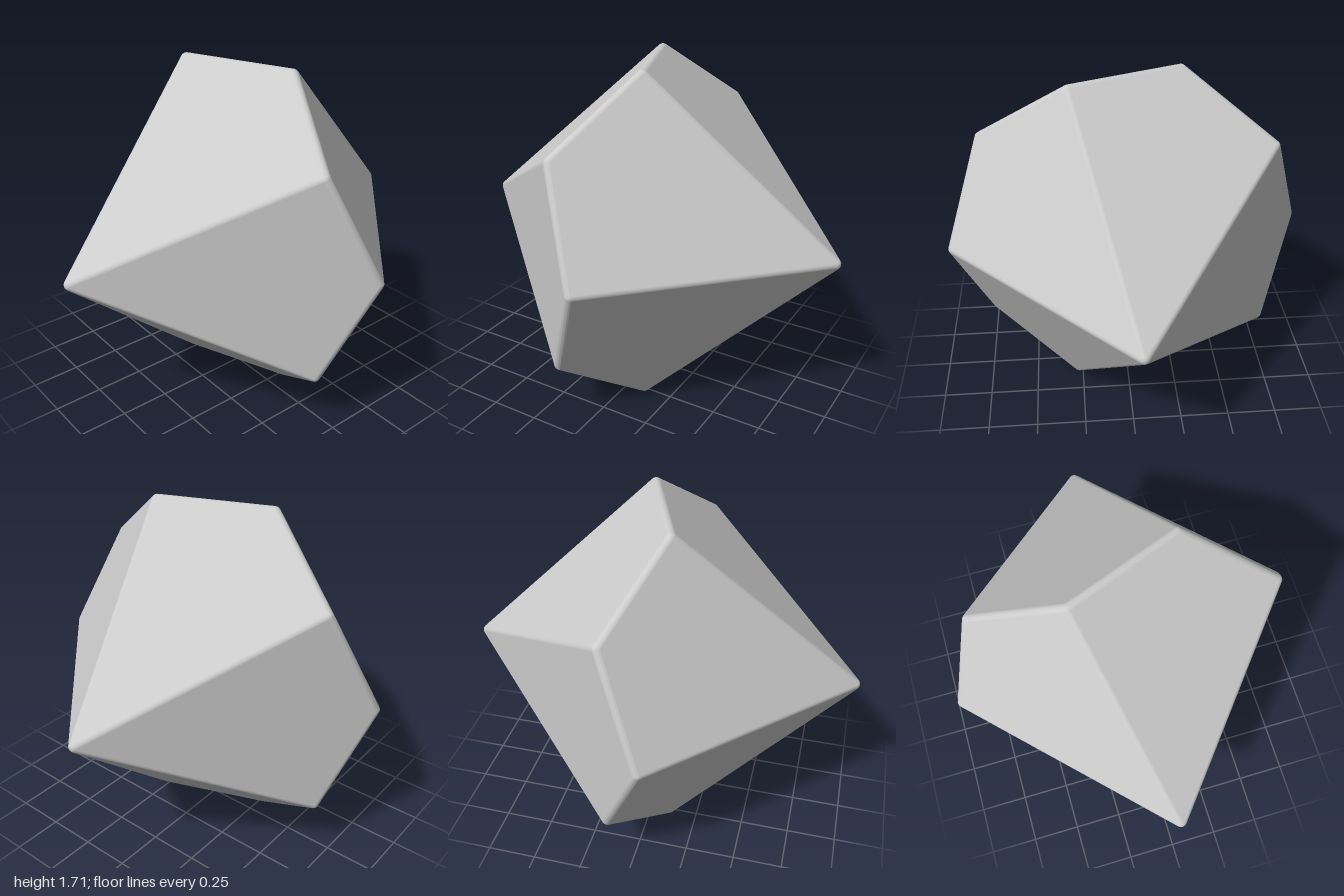
import * as THREE from 'three';
import { ConvexGeometry } from 'three/addons/geometries/ConvexGeometry.js';

const EDGE = 0.03;              // radius of the rounded edges
const APEX = 1 - EDGE;          // apex distance of the inner sharp solid
const RING = 0.867;             // radius of its zigzag ring
const STEP = Math.PI / 5;
const STEPS = 4;                // rounding subdivisions
const ZIG = APEX * (1 - Math.cos(STEP)) / (1 + Math.cos(STEP)); // keeps the kites flat

// Zigzag ring: odd corners lean to the front, even ones to the back
const side = (k) => (k % 2 ? 1 : -1);
const corner = (k) => new THREE.Vector3(
  RING * Math.cos(k * STEP), RING * Math.sin(k * STEP), side(k) * ZIG);
const apex = (s) => new THREE.Vector3(0, 0, s * APEX);

// Outward normal of the kite whose tip is ring corner k
function kiteNormal(k) {
  const s = -side(k);
  const a = corner(k - 1).sub(apex(s));
  const b = corner(k + 1).sub(apex(s));
  return a.cross(b).multiplyScalar(s).normalize();
}

// Directions filling the spherical patch between neighbouring face normals
function patch(normals) {
  const mid = normals.reduce((sum, n) => sum.add(n), new THREE.Vector3()).normalize();
  const dirs = [];
  normals.forEach((n, i) => {
    const next = normals[(i + 1) % normals.length];
    for (let u = 0; u <= STEPS; u++) {
      for (let v = 0; v <= STEPS - u; v++) {
        dirs.push(new THREE.Vector3()
          .addScaledVector(n, u)
          .addScaledVector(next, v)
          .addScaledVector(mid, STEPS - u - v)
          .normalize());
      }
    }
  });
  return dirs;
}

function roundedTrapezohedron() {
  const cores = [];
  const points = [];
  const addCorner = (core, faces) => {
    cores.push(core);
    for (const d of patch(faces.map(kiteNormal))) {
      points.push(core.clone().addScaledVector(d, EDGE));
    }
  };
  for (let k = 0; k < 10; k++) addCorner(corner(k), [k - 1, k, k + 1]);
  addCorner(apex(1), [0, 2, 4, 6, 8]);
  addCorner(apex(-1), [1, 3, 5, 7, 9]);

  // Smooth normals point away from the nearest inner corner
  const geometry = new ConvexGeometry(points);
  const { position, normal } = geometry.attributes;
  const p = new THREE.Vector3();
  for (let i = 0; i < position.count; i++) {
    p.fromBufferAttribute(position, i);
    const core = cores.reduce((a, b) => (p.distanceTo(b) < p.distanceTo(a) ? b : a));
    p.sub(core).normalize();
    normal.setXYZ(i, p.x, p.y, p.z);
  }
  return geometry;
}

export function createModel() {
  const group = new THREE.Group();
  group.name = 'tenSidedDie';
  const body = new THREE.Mesh(
    roundedTrapezohedron(),
    new THREE.MeshStandardMaterial({ color: 0xcccccc }));
  body.name = 'dieBody';
  // Rest the lowest ring edge on the ground
  body.position.y = RING * Math.sin(2 * STEP) + EDGE;
  group.add(body);
  return group;
}
